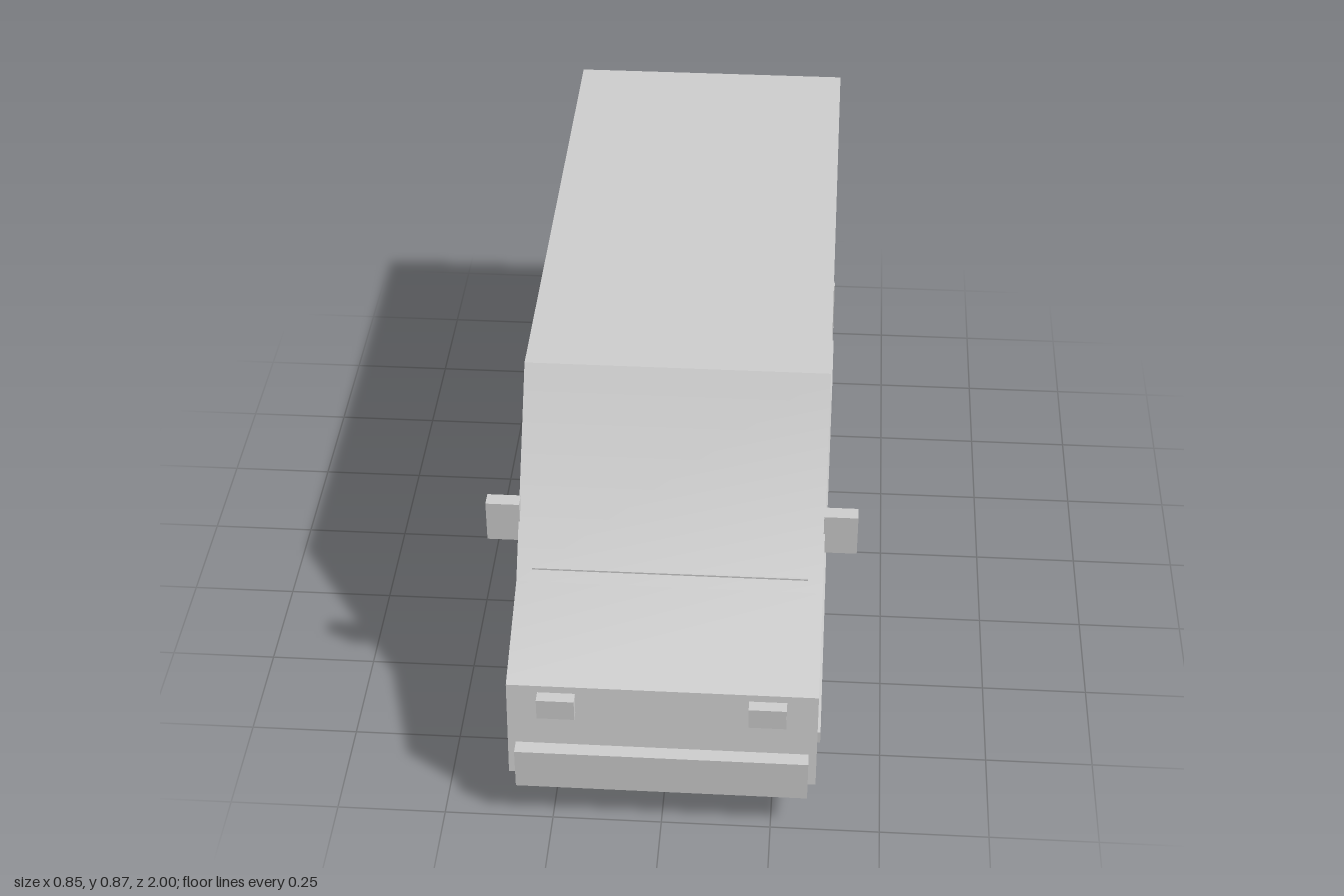
import * as THREE from 'three';
import { toCreasedNormals } from 'three/addons/utils/BufferGeometryUtils.js';

// Extrude a side profile of [z, y] points across x, centred on x = 0
function extrudeProfile(points, width) {
  const shape = new THREE.Shape(points.map(([z, y]) => new THREE.Vector2(z, y)));
  const geometry = new THREE.ExtrudeGeometry(shape, { depth: width, bevelEnabled: false });
  return geometry.translate(0, 0, -width / 2).rotateY(-Math.PI / 2);
}

export function createModel() {
  const van = new THREE.Group();
  van.name = 'van';
  const paint = new THREE.MeshStandardMaterial({ color: 0xcccccc });
  paint.name = 'light grey';

  const add = (name, geometry) => {
    const mesh = new THREE.Mesh(geometry, paint);
    mesh.name = name;
    van.add(mesh);
    return mesh;
  };
  // Box given by its extents on each axis
  const box = (name, [x0, x1], [y0, y1], [z0, z1]) =>
    add(name, new THREE.BoxGeometry(x1 - x0, y1 - y0, z1 - z0))
      .position.set((x0 + x1) / 2, (y0 + y1) / 2, (z0 + z1) / 2);

  // Body shell: the bonnet blends softly into the windscreen
  const body = extrudeProfile([
    [-0.965, 0.117], [0.975, 0.117], [0.95, 0.36],
    [0.715, 0.465], [0.42, 0.868], [-0.965, 0.868],
  ], 0.7);
  add('body', toCreasedNormals(body, THREE.MathUtils.degToRad(38)));

  // Bumpers, windscreen edge and rear door seam
  box('frontBumper', [-0.332, 0.332], [0.097, 0.202], [0.915, 1]);
  box('rearBumper', [-0.332, 0.332], [0.097, 0.185], [-1, -0.95]);
  box('windscreenEdge', [-0.315, 0.315], [0.488, 0.492], [0.685, 0.7]);
  box('rearDoorSeam', [-0.004, 0.004], [0.2, 0.82], [-0.968, -0.96]);

  for (const side of [1, -1]) {
    const label = side > 0 ? 'left' : 'right';
    const span = (a, b) => (side > 0 ? [a, b] : [-b, -a]);

    box(label + 'Headlight', span(0.195, 0.28), [0.29, 0.343], [0.93, 0.98]);
    box(label + 'Mirror', span(0.347, 0.424), [0.52, 0.623], [0.6, 0.635]);
    box(label + 'SideTrim', span(0.345, 0.357), [0.187, 0.218], [-0.945, 0.91]);
    box(label + 'DoorSeam', span(0.345, 0.353), [0.23, 0.8], [-0.056, -0.044]);
    box(label + 'RearWindow', span(0.19, 0.283), [0.45, 0.62], [-0.975, -0.96]);

    // Cab window, a thin plate on the door
    const cabWindow = add(label + 'CabWindow', extrudeProfile(
      [[0.19, 0.5], [0.615, 0.5], [0.4, 0.8], [0.19, 0.8]], 0.008));
    cabWindow.position.x = side * 0.35;

    // Octagonal wheels with flat bottoms and thin hubcaps
    for (const [end, z] of [['Front', 0.615], ['Rear', -0.645]]) {
      for (const [part, apothem, x0, x1] of [['Wheel', 0.115, 0.24, 0.337], ['Hubcap', 0.065, 0.33, 0.341]]) {
        const geometry = new THREE.CylinderGeometry(1, 1, x1 - x0, 8)
          .rotateY(Math.PI / 8).rotateZ(Math.PI / 2);
        const radius = apothem / Math.cos(Math.PI / 8);
        geometry.scale(1, radius, radius);
        add(label + end + part, toCreasedNormals(geometry, 0.5))
          .position.set(side * (x0 + x1) / 2, 0.115, z);
      }
    }
  }
  return van;
}
